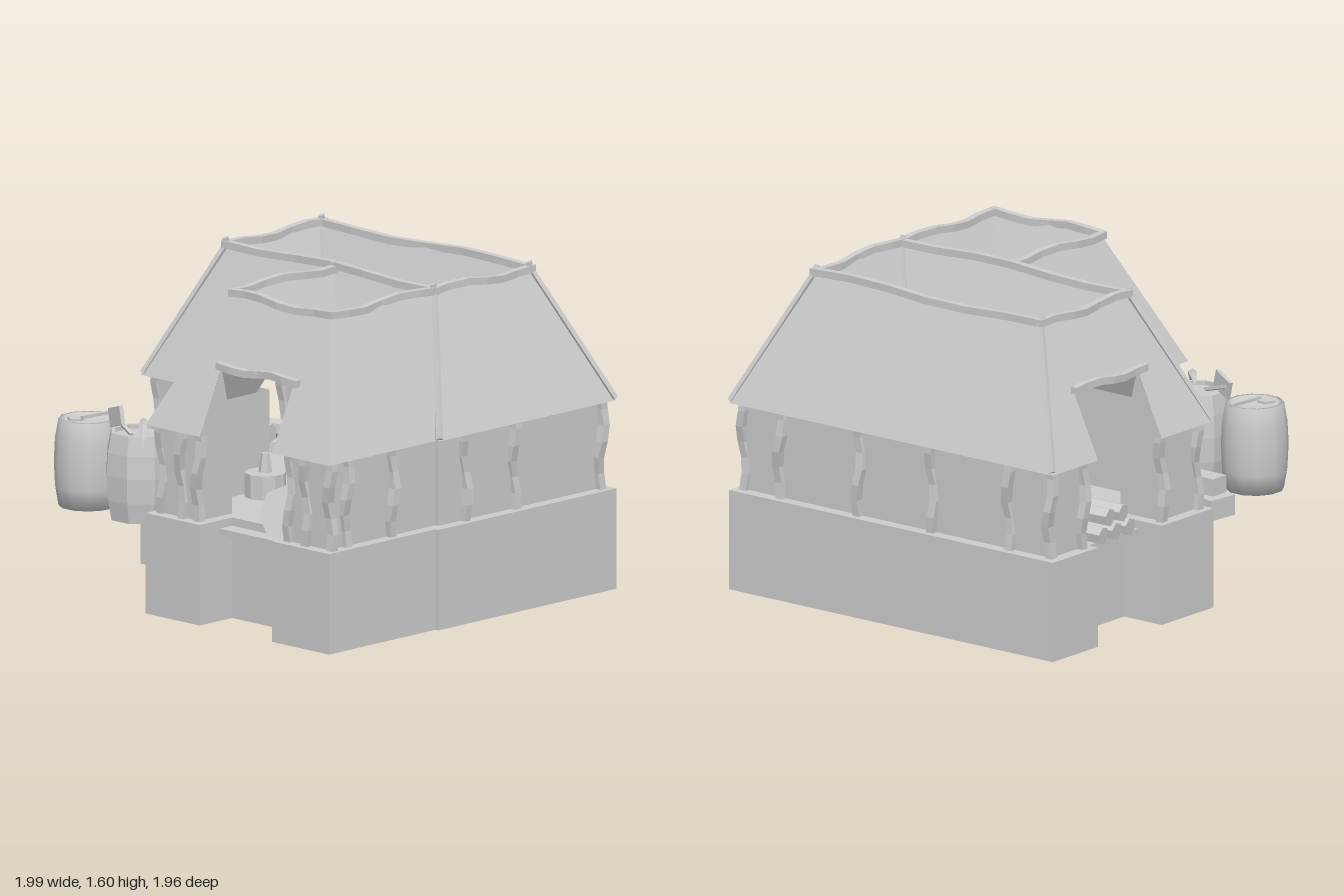
import * as THREE from 'three';

const mat = new THREE.MeshStandardMaterial({ color: 0xcccccc, flatShading: true, side: THREE.DoubleSide });
const smooth = new THREE.MeshStandardMaterial({ color: 0xcccccc, side: THREE.DoubleSide });
const EAVE = 0.92, RIM = 1.55;

export function createModel() {
  const model = new THREE.Group();
  const add = (name, geo, pos = [0, 0, 0], rot = [0, 0, 0], m = mat) => {
    const mesh = new THREE.Mesh(geo, m);
    mesh.name = name;
    mesh.position.set(...pos);
    mesh.rotation.set(...rot);
    model.add(mesh);
    return mesh;
  };
  const box = (name, size, pos, rot) => add(name, new THREE.BoxGeometry(...size), pos, rot);

  // Vertical strip standing on a plan polyline of [x, z] points
  const strip = (name, path, y0, y1) => {
    const v = [];
    for (let i = 0; i + 1 < path.length; i++) {
      const [a, b] = path[i], [c, d] = path[i + 1];
      v.push(a, y0, b, c, y0, d, c, y1, d, a, y0, b, c, y1, d, a, y1, b);
    }
    const g = new THREE.BufferGeometry();
    g.setAttribute('position', new THREE.Float32BufferAttribute(v, 3));
    g.computeVertexNormals();
    add(name, g);
  };
  // Horizontal slab face over a plan outline
  const cap = (name, path, y) => {
    const g = new THREE.ShapeGeometry(new THREE.Shape(path.map(([x, z]) => new THREE.Vector2(x, -z))));
    add(name, g.rotateX(-Math.PI / 2), [0, y, 0]);
  };
  // Sloping roof face: [u, y] outline, depth runs from e at the eave to r at the rim
  const slope = (name, axis, e, r, pts) => {
    const g = new THREE.ShapeGeometry(new THREE.Shape(pts.map(p => new THREE.Vector2(...p))));
    const p = g.attributes.position;
    for (let i = 0; i < p.count; i++) {
      const u = p.getX(i), y = p.getY(i);
      const d = e + (r - e) * (y - EAVE) / (RIM - EAVE);
      if (axis === 'z') p.setXYZ(i, u, y, d); else p.setXYZ(i, d, y, u);
    }
    g.computeVertexNormals();
    add(name, g);
  };
  // Crooked timber between two points
  let seed = 0;
  const timber = (name, a, b, w = 0.035, wave = 0.012) => {
    const A = new THREE.Vector3(...a), B = new THREE.Vector3(...b), len = A.distanceTo(B);
    const g = new THREE.BoxGeometry(w, len, w, 1, 6, 1), p = g.attributes.position, k = seed++ * 1.7;
    for (let i = 0; i < p.count; i++) {
      const t = p.getY(i) / len + 0.5;
      const s = Math.sin(Math.PI * t) * wave;
      p.setX(i, p.getX(i) + s * Math.sin(6 * t + k));
      p.setZ(i, p.getZ(i) + s * Math.cos(6 * t + k));
    }
    const mesh = add(name, g, A.clone().add(B).multiplyScalar(0.5).toArray());
    mesh.quaternion.setFromUnitVectors(new THREE.Vector3(0, 1, 0), B.sub(A).normalize());
  };

  // Stone base: L plan with two entrance recesses, open underneath
  const plan = [[-1, 0.23], [-0.26, 0.23], [-0.26, 0.95], [0.1, 0.95], [0.1, 0.73], [0.58, 0.73], [0.58, 0.95],
    [0.96, 0.95], [0.96, 0.23], [0.98, 0.23], [0.98, -0.98], [-1, -0.98], [-1, -0.64], [-0.77, -0.64],
    [-0.77, -0.16], [-1, -0.16], [-1, 0.23]];
  strip('baseWalls', plan, 0, 0.49);
  cap('floor', plan, 0.49);
  cap('floorUnderside', plan, 0.4);
  box('frontSill', [0.48, 0.03, 0.13], [0.34, 0.435, 0.75]);
  box('sideSill', [0.13, 0.03, 0.48], [-0.79, 0.435, -0.4]);
  box('cornerStep', [0.46, 0.03, 0.12], [-0.485, 0.435, 0.285]);

  // House walls, open at both entrances
  strip('wallsFrontLeft', [[0.04, 0.67], [0.04, 0.89], [-0.2, 0.89], [-0.2, 0.17], [-0.94, 0.17],
    [-0.94, -0.1], [-0.7, -0.1]], 0.49, 0.97);
  strip('wallsBackRight', [[-0.7, -0.7], [-0.94, -0.7], [-0.94, -0.92], [0.92, -0.92], [0.92, 0.17],
    [0.9, 0.17], [0.9, 0.89], [0.64, 0.89], [0.64, 0.67]], 0.49, 0.97);

  // Crooked wall posts
  const posts = [[-0.21, 0.89], [-0.06, 0.9], [0.04, 0.89], [0.64, 0.89], [0.76, 0.9], [0.92, 0.89],
    [0.91, 0.78], [0.91, 0.48], [0.93, 0], [0.93, -0.34], [0.93, -0.92],
    [0.7, -0.93], [0.23, -0.93], [-0.22, -0.93], [-0.7, -0.93], [-0.94, -0.92],
    [-0.95, -0.7], [-0.95, -0.1], [-0.95, 0.17], [-0.58, 0.18], [-0.21, 0.5], [0.35, -0.88]];
  posts.forEach(([x, z]) => timber('wallPost', [x, 0.49, z], [x, 0.96, z], 0.04, 0.02));

  // Main roof slopes
  const y0 = EAVE, y1 = RIM, n = 1.23;
  slope('mainRoofBack', 'z', -0.98, -0.7, [[-1, y0], [0.98, y0], [0.68, y1], [-0.7, y1]]);
  slope('mainRoofFront', 'z', 0.23, -0.05, [[-1, y0], [-0.26, y0], [0.02, y1], [-0.7, y1]]);
  slope('mainRoofRight', 'x', 0.98, 0.68, [[0.23, y0], [-0.98, y0], [-0.7, y1], [-0.05, y1]]);
  slope('mainRoofLeft', 'x', -1, -0.7, [[-0.98, y0], [-0.64, y0], [-0.64, n], [-0.16, n], [-0.16, y0],
    [0.23, y0], [-0.05, y1], [-0.7, y1]]);
  // Wing roof slopes
  slope('wingRoofLeft', 'x', -0.26, 0.02, [[0.95, y0], [0.23, y0], [-0.05, y1], [0.65, y1]]);
  slope('wingRoofRight', 'x', 0.96, 0.68, [[0.95, y0], [0.23, y0], [-0.05, y1], [0.65, y1]]);
  slope('wingRoofFront', 'z', 0.95, 0.65, [[-0.26, y0], [0.1, y0], [0.1, n], [0.58, n], [0.58, y0],
    [0.96, y0], [0.68, y1], [0.02, y1]]);

  // Inward sloping roof wells with a small flat bottom
  const well = (name, x0, x1, z0, z1, a0, a1, b0, b1) => {
    slope(name + 'Front', 'z', b1, z1, [[a0, y0], [a1, y0], [x1, y1], [x0, y1]]);
    slope(name + 'Back', 'z', b0, z0, [[a0, y0], [a1, y0], [x1, y1], [x0, y1]]);
    slope(name + 'Left', 'x', a0, x0, [[b0, y0], [b1, y0], [z1, y1], [z0, y1]]);
    slope(name + 'Right', 'x', a1, x1, [[b0, y0], [b1, y0], [z1, y1], [z0, y1]]);
    cap(name + 'Bottom', [[a0, b0], [a1, b0], [a1, b1], [a0, b1]], y0);
  };
  well('mainRoofWell', -0.7, 0.68, -0.7, -0.05, -0.41, 0.39, -0.42, -0.33);
  well('wingRoofWell', 0.02, 0.68, -0.05, 0.65, 0.3, 0.39, 0.23, 0.37);

  // Entrance cheeks under the roof
  const cheek = (name, pts) => {
    const g = new THREE.BufferGeometry().setFromPoints(pts.map(p => new THREE.Vector3(...p)));
    g.computeVertexNormals();
    add(name, g);
  };
  for (const x of [0.1, 0.58]) cheek('frontEntranceCheek', [[x, y0, 0.95], [x, n, 0.8], [x, y0, 0.73]]);
  for (const z of [-0.64, -0.16]) cheek('sideEntranceCheek', [[-1, y0, z], [-0.85, n, z], [-0.77, y0, z]]);

  // Roof timbers along rims, hips and over the entrances
  const R = 1.56;
  const rims = [[-0.72, -0.7, 0.7, -0.7], [-0.72, -0.05, 0.7, -0.05], [-0.7, -0.72, -0.7, -0.03],
    [0.68, -0.72, 0.68, -0.03], [0.02, -0.05, 0.02, 0.66], [0.68, -0.05, 0.68, 0.66], [0.01, 0.65, 0.69, 0.65]];
  rims.forEach(([a, b, c, d]) => timber('rimBeam', [a, R, b], [c, R, d], 0.035, 0.018));
  const hips = [[-0.7, -0.7, -0.99, -0.97], [-0.7, -0.05, -0.99, 0.22], [0.68, -0.7, 0.98, -0.97], [0.68, -0.05, 0.98, 0.22],
    [-0.7, -0.7, -0.41, -0.42], [0.68, -0.05, 0.39, -0.33], [0.68, -0.7, 0.39, -0.42], [-0.7, -0.05, -0.41, -0.33]];
  hips.forEach(([a, b, c, d]) => timber('hipBeam', [a, 1.56, b], [c, 0.93, d], 0.024, 0));
  for (const [x, z] of [[-0.7, -0.7], [-0.7, -0.05], [0.68, -0.7], [0.68, -0.05], [0.02, -0.05]])
    box('rimPeg', [0.025, 0.06, 0.025], [x, 1.565, z], [0.2, 0.6, 0.15]);
  timber('frontEntranceBeam', [0.09, 1.245, 0.815], [0.62, 1.24, 0.815], 0.035, 0.015);
  timber('sideEntranceBeam', [-0.87, 1.245, -0.66], [-0.87, 1.245, -0.12], 0.035, 0.015);
  box('roofBlock', [0.13, 0.03, 0.04], [-0.35, 0.95, -0.37], [0, 0.1, 0.15]);

  // Barrels with sunken lids
  const barrel = (name, x, z, sides, mid, end, m) => {
    const prof = [[0, 0.42], [end, 0.42], [mid * 0.965, 0.52], [mid, 0.64], [mid * 0.965, 0.75], [end, 0.845],
      [end - 0.02, 0.845], [end - 0.02, 0.825], [0, 0.825]].map(p => new THREE.Vector2(...p));
    add(name, new THREE.LatheGeometry(prof, sides), [x, 0, z], [0, Math.PI / sides, 0], m);
  };
  barrel('roundBarrel', -0.78, 0.81, 12, 0.162, 0.14, smooth);
  barrel('stavedBarrel', -0.42, 0.82, 8, 0.175, 0.15, mat);
  box('barrelStick', [0.015, 0.015, 0.2], [-0.765, 0.855, 0.76], [0, -0.1, 0]);
  add('barrelPatch', new THREE.CylinderGeometry(0.045, 0.045, 0.012, 5), [-0.81, 0.845, 0.86]);

  // Tools in the staved barrel
  timber('toolHandle', [-0.61, 0.89, 0.81], [-0.43, 0.83, 0.87], 0.016, 0);
  box('toolHead', [0.13, 0.09, 0.02], [-0.57, 0.89, 0.83], [0, -0.35, 0.3]);
  const hornPath = new THREE.CatmullRomCurve3([[-0.43, 0.88, 0.79], [-0.36, 0.9, 0.86], [-0.3, 0.86, 0.93],
    [-0.26, 0.78, 0.98]].map(p => new THREE.Vector3(...p)));
  const horn = new THREE.TubeGeometry(hornPath, 8, 0.022, 5), hp = horn.attributes.position;
  for (let i = 0; i < hp.count; i++) {
    const t = Math.floor(i / 6) / 8, c = hornPath.getPointAt(t);
    const v = new THREE.Vector3().fromBufferAttribute(hp, i).sub(c).multiplyScalar(Math.sin(Math.PI * (0.1 + 0.88 * t)));
    hp.setXYZ(i, c.x + v.x, c.y + v.y, c.z + v.z);
  }
  add('curvedBlade', horn);

  // Crates by the step
  box('crateLeft', [0.1, 0.1, 0.16], [-0.94, 0.47, 0.32], [0, -0.1, 0]);
  box('crateTop', [0.16, 0.09, 0.1], [-0.86, 0.56, 0.35]);
  box('crateRight', [0.13, 0.1, 0.1], [-0.72, 0.48, 0.36], [0, -0.2, 0]);

  // Log pile at the side entrance
  for (const [y, z] of [[0.5, -0.5], [0.5, -0.4], [0.5, -0.3], [0.58, -0.45], [0.58, -0.35]])
    add('log', new THREE.CylinderGeometry(0.045, 0.045, 0.2, 6), [-0.81, y, z], [0.3, 0.15, Math.PI / 2]);

  // Round lid and board leaning inside the front entrance
  add('leaningLid', new THREE.CylinderGeometry(0.14, 0.14, 0.02, 8), [0.5, 0.58, 0.76], [1.3, 0.2, -0.5]);
  box('leaningBoard', [0.14, 0.34, 0.02], [0.54, 0.67, 0.69], [-0.1, 0, -0.08]);

  // Pot sunk into the floor
  add('pot', new THREE.CylinderGeometry(0.1, 0.1, 0.23, 10, 1, true), [-0.1, 0.485, 0.3]);
  add('potLid', new THREE.CylinderGeometry(0.1, 0.1, 0.015, 10), [-0.1, 0.6, 0.3]);
  add('potKnob', new THREE.CylinderGeometry(0.02, 0.035, 0.1, 6), [-0.1, 0.65, 0.3]);

  return model;
}
